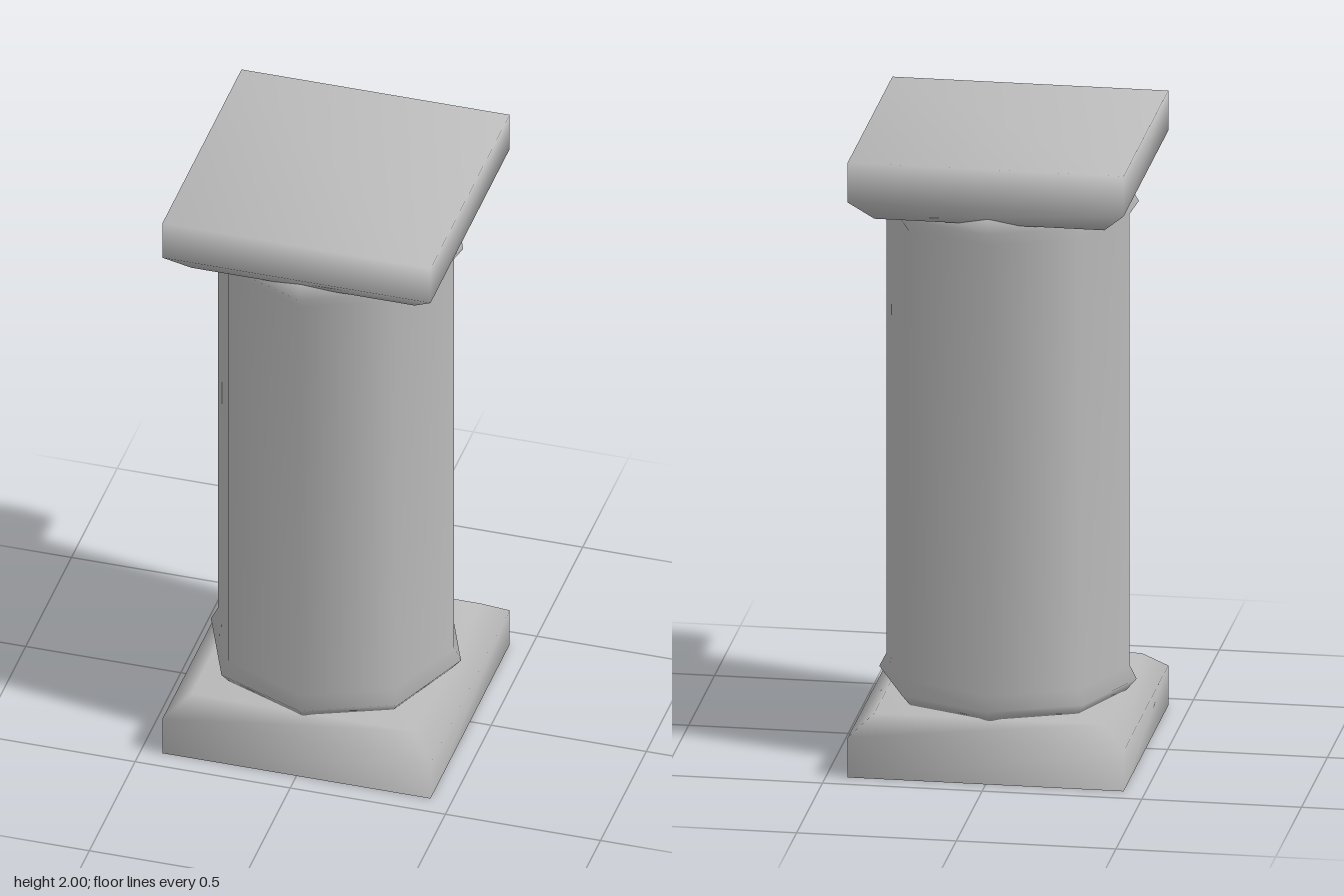
import * as THREE from 'three';

// Square block with smooth normals, lofted through [halfWidth, y] levels from bottom to top
function squareBlock(levels, closeBottom) {
  const pos = [], idx = [];
  for (const [h, y] of levels) pos.push(h, y, h, h, y, -h, -h, y, -h, -h, y, h);
  for (let l = 0; l < levels.length - 1; l++) {
    for (let i = 0; i < 4; i++) {
      const a = l * 4 + i, b = l * 4 + (i + 1) % 4;
      idx.push(a, b, b + 4, a, b + 4, a + 4);
    }
  }
  const t = (levels.length - 1) * 4;
  idx.push(t, t + 1, t + 2, t, t + 2, t + 3);
  if (closeBottom) idx.push(0, 2, 1, 0, 3, 2);
  const g = new THREE.BufferGeometry();
  g.setAttribute('position', new THREE.Float32BufferAttribute(pos, 3));
  g.setIndex(idx);
  g.computeVertexNormals();
  return g;
}

export function createModel() {
  const stone = new THREE.MeshStandardMaterial({ color: 0xbcbcbc, side: THREE.DoubleSide });
  stone.name = 'grey stone';
  const group = new THREE.Group();
  group.name = 'column';
  const add = (name, geometry) => {
    const mesh = new THREE.Mesh(geometry, stone);
    mesh.name = name;
    group.add(mesh);
  };

  // Plinth: chamfered at the top, hollow underneath
  add('plinth', squareBlock([[0.432, 0], [0.432, 0.13], [0.36, 0.19]], false));

  // Eight-sided shaft with a collar ring at each end, corners facing the axes
  const profile = [
    [0, 0.186], [0.37, 0.186], [0.403, 0.225], [0.38, 0.27],
    [0.38, 1.735], [0.41, 1.78], [0.375, 1.84], [0, 1.84],
  ].map(([r, y]) => new THREE.Vector2(r, y));
  add('shaft', new THREE.LatheGeometry(profile, 8));

  // Capital: slab tapering in towards the shaft
  add('capital', squareBlock([[0.36, 1.798], [0.432, 1.87], [0.432, 2]], true));

  return group;
}
